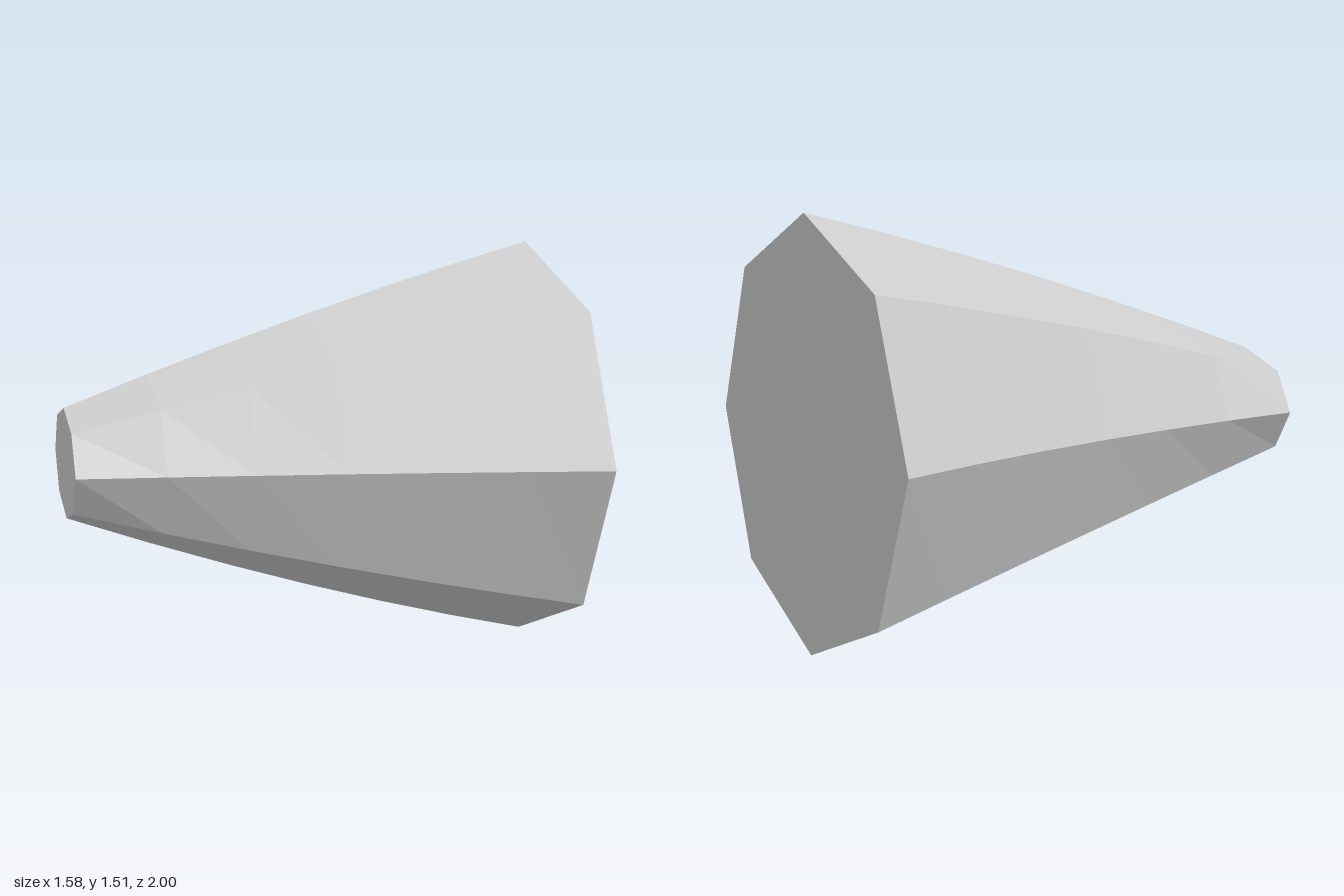
import * as THREE from 'three';

const SIDES = 8, STEPS = 6, MID_Y = 0.755;

// value at s (0 = wide back end, 1 = narrow front end), bowed in the middle
const bowed = (back, front, bow, s) => back + (front - back) * s + 4 * s * (1 - s) * bow;

// octagonal section: its plane turns and its outline flattens towards the front
function section(s) {
  const cx = bowed(0.065, -0.5, 0.022, s), cz = bowed(-0.79, 0.885, 0, s);
  const hx = bowed(0.72, 0.292, -0.038, s), hz = bowed(0.21, 0.115, -0.01, s);
  const ry = bowed(0.755, 0.2, 0.03, s);
  return Array.from({ length: SIDES }, (_, j) => {
    const a = (j / SIDES) * Math.PI * 2;
    return new THREE.Vector3(cx + hx * Math.cos(a), MID_Y + ry * Math.sin(a), cz + hz * Math.cos(a));
  });
}

function fromTriangles(points) {
  const geometry = new THREE.BufferGeometry().setFromPoints(points);
  geometry.computeVertexNormals();
  return geometry;
}

export function createModel() {
  const group = new THREE.Group();
  group.name = 'taperedHorn';
  const grey = new THREE.MeshStandardMaterial({ color: 0xcccccc, flatShading: true });
  grey.name = 'lightGrey';
  const rings = Array.from({ length: STEPS + 1 }, (_, i) => section(i / STEPS));

  const add = (name, points) => {
    const mesh = new THREE.Mesh(fromTriangles(points), grey);
    mesh.name = name;
    group.add(mesh);
  };

  // curved tapering wall
  const wall = [];
  for (let i = 0; i < STEPS; i++) {
    for (let j = 0; j < SIDES; j++) {
      const k = (j + 1) % SIDES;
      const a = rings[i][j], b = rings[i][k], c = rings[i + 1][k], d = rings[i + 1][j];
      wall.push(a, b, c, a, c, d);
    }
  }
  add('wall', wall);

  // flat end faces
  const front = [], back = [];
  for (let j = 1; j < SIDES - 1; j++) {
    const f = rings[STEPS], r = rings[0];
    front.push(f[0], f[j], f[j + 1]);
    back.push(r[0], r[j + 1], r[j]);
  }
  add('frontEnd', front);
  add('backEnd', back);
  return group;
}
